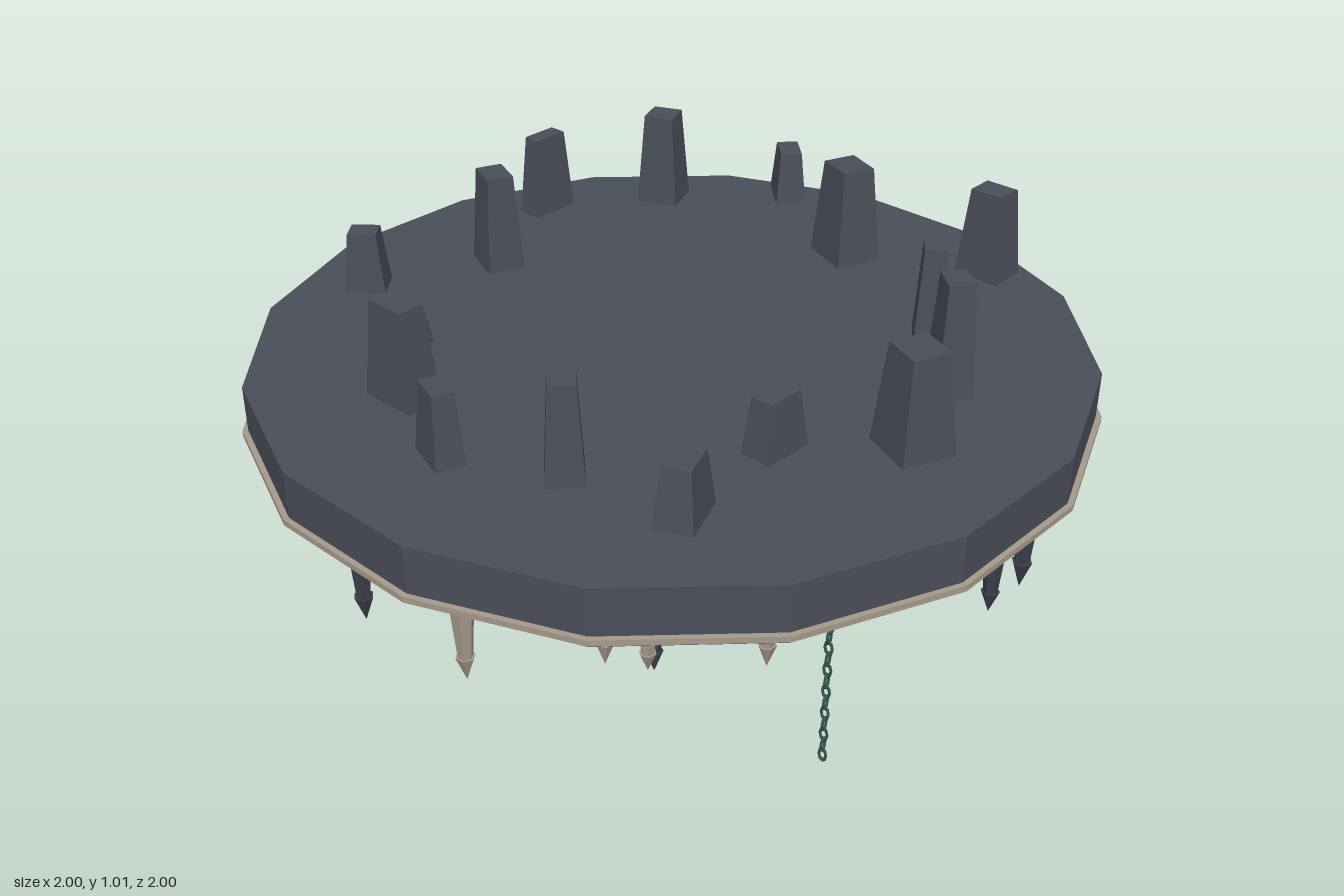
import * as THREE from 'three';

const mat = (name, color) => {
  const m = new THREE.MeshStandardMaterial({ color, flatShading: true });
  m.name = name;
  return m;
};

export function createModel() {
  const slate = mat('slate stone', 0x4a4e59);
  const dark = mat('dark stone', 0x3c404d);
  const bone = mat('pale stone', 0xa5998a);
  const green = mat('verdigris chain', 0x35564c);
  const gold = mat('gold', 0xb8860b);
  const root = new THREE.Group();
  const add = (name, geo, material, x = 0, y = 0, z = 0, parent = root) => {
    const m = new THREE.Mesh(geo, material);
    m.name = name;
    m.position.set(x, y, z);
    parent.add(m);
    return m;
  };
  const cyl = (top, bottom, h, n) => new THREE.CylinderGeometry(top, bottom, h, n);

  // Stepped discs, each with a pale rim band: radius, bottom, top
  const tiers = [[0.985, 0.598, 0.735], [0.72, 0.47, 0.6], [0.46, 0.355, 0.472], [0.25, 0.258, 0.357]];
  tiers.forEach(([r, y0, y1], i) => {
    add('tier' + (i + 1), cyl(r, r, y1 - y0, 16), slate, 0, (y0 + y1) / 2);
    add('rimBand' + (i + 1), cyl(r + 0.013, r + 0.013, 0.014, 16), bone, 0, y0 + 0.018);
  });

  // Tapered ruin pillars: x, z, width, depth, turn, top height
  const pillars = [
    [0.17, -0.85, 0.125, 0.1, 0.2, 0.96], [-0.5, -0.75, 0.13, 0.08, -0.55, 0.87],
    [-0.12, -0.63, 0.14, 0.12, -0.17, 0.98], [-0.69, -0.465, 0.11, 0.11, 0.6, 0.975],
    [-0.81, -0.165, 0.065, 0.135, 0.2, 0.945], [-0.595, 0.115, 0.125, 0.095, -0.2, 0.98],
    [-0.67, 0.445, 0.1, 0.085, 0.9, 0.885], [-0.35, 0.515, 0.11, 0.08, 0.55, 0.825],
    [-0.13, 0.635, 0.145, 0.095, 0.2, 0.97], [0.135, 0.69, 0.115, 0.07, -0.13, 0.905],
    [0.34, 0.515, 0.11, 0.085, -0.55, 0.965], [0.605, 0.405, 0.09, 0.135, 0.6, 0.87],
    [0.515, 0.105, 0.08, 0.13, 0.2, 0.87], [0.68, -0.135, 0.14, 0.13, -0.2, 0.975],
    [0.545, -0.365, 0.11, 0.085, -0.5, 1.01], [0.335, -0.5, 0.08, 0.075, -0.7, 0.97]];
  for (const [x, z, w, d, turn, top] of pillars) {
    const h = top - 0.73;
    const geo = new THREE.BoxGeometry(w, h, d);
    const p = geo.attributes.position;
    for (let i = 0; i < p.count; i++) {
      if (p.getY(i) > 0) { p.setX(i, p.getX(i) * 0.7); p.setZ(i, p.getZ(i) * 0.7); }
    }
    geo.computeVertexNormals();
    add('pillar', geo, slate, x, 0.73 + h / 2, z).rotation.y = turn;
  }

  // Hanging spikes: tapered shaft with a slightly flared point
  const spike = (x, z, y, len, m) => {
    const g = new THREE.Group();
    g.name = 'hangingSpike';
    g.position.set(x, y, z);
    g.rotation.y = x * 7 + z * 5;
    const r = 0.012 + len * 0.075;
    const tip = len * 0.3;
    add('shaft', cyl(r, r * 0.6, len - tip, 6), m, 0, -(len - tip) / 2, 0, g);
    add('point', cyl(r * 0.8, 0, tip, 6), m, 0, -len + tip / 2, 0, g);
    root.add(g);
  };
  // x, z, length for each tier, pale then dark
  const spikes = [
    [0.6, [[0.57, -0.64, 0.14], [0.35, -0.78, 0.17], [-0.44, -0.83, 0.17], [0.67, 0.54, 0.15],
      [0.43, 0.82, 0.2], [-0.77, -0.28, 0.2], [-0.86, 0.27, 0.2], [-0.83, 0.45, 0.22], [-0.7, 0.55, 0.2], [-0.49, 0.68, 0.15]],
    [[0.9, -0.18, 0.18], [0.83, -0.35, 0.23], [0.33, -0.85, 0.12], [-0.03, -0.83, 0.22],
      [-0.34, -0.82, 0.22], [0.12, 0.89, 0.21], [-0.83, -0.34, 0.18], [-0.25, 0.85, 0.14]]],
    [0.472, [[-0.16, -0.6, 0.19], [0.68, -0.12, 0.14], [0.3, -0.5, 0.11], [0.13, -0.57, 0.16],
      [0.55, 0.24, 0.14], [0.25, 0.46, 0.14], [-0.48, -0.18, 0.15], [0.13, 0.64, 0.19],
      [-0.1, 0.64, 0.15], [-0.52, 0.08, 0.17], [-0.53, 0.32, 0.17], [0.63, 0.2, 0.2], [0.42, 0.48, 0.2]],
    [[0.35, -0.44, 0.18], [0.52, 0.42, 0.18], [-0.28, -0.5, 0.16], [-0.58, -0.23, 0.15], [-0.3, 0.55, 0.14]]],
    [0.357, [[0.41, 0.01, 0.11], [-0.18, -0.28, 0.1], [0.33, 0.22, 0.11], [-0.35, 0.18, 0.09], [0.2, 0.32, 0.09]],
      [[0.27, -0.23, 0.1], [-0.1, 0.35, 0.08], [-0.35, -0.1, 0.09]]],
    [0.26, [[-0.16, 0.1, 0.06], [0.13, 0.12, 0.05]], [[0.1, -0.14, 0.06], [-0.13, -0.08, 0.05]]]];
  for (const [y, pale, shade] of spikes) {
    pale.forEach(([x, z, len]) => spike(x, z, y, len, bone));
    shade.forEach(([x, z, len]) => spike(x, z, y, len, dark));
  }

  // Chains of alternating links: x, z, top, bottom
  const link = new THREE.TorusGeometry(0.009, 0.0035, 5, 8);
  link.scale(1, 1.75, 1);
  const chains = [[-0.93, 0.27, 0.6, 0.09], [0.19, -0.965, 0.6, 0.29], [-0.635, -0.38, 0.475, 0.08],
    [0.17, 0.69, 0.475, 0.18], [0.71, 0.095, 0.475, 0], [-0.32, 0.33, 0.36, 0.12], [0.22, -0.405, 0.36, 0.02]];
  for (const [x, z, top, bottom] of chains) {
    const g = new THREE.Group();
    g.name = 'chain';
    g.position.set(x, 0, z);
    const n = Math.round((top - bottom) / 0.029);
    for (let i = 0; i < n; i++) {
      const y = bottom + 0.022 + i * (top - bottom - 0.022) / (n - 1);
      add('link', link, green, 0, y, 0, g).rotation.y = (i % 2) * Math.PI / 2 + 0.4;
    }
    root.add(g);
  }

  // Gold ring with two short bars under the lowest disc
  const ring = new THREE.TorusGeometry(0.18, 0.008, 6, 32);
  ring.rotateX(Math.PI / 2);
  add('goldRing', ring, gold, 0, 0.255, 0);
  for (const s of [-1, 1]) add('goldBar', new THREE.BoxGeometry(0.02, 0.012, 0.1), gold, 0, 0.255, s * 0.21);

  // Central pendant
  const profile = [[0, 0.03], [0.036, 0.125], [0.033, 0.135], [0.055, 0.2], [0.075, 0.21], [0.07, 0.235], [0.09, 0.262]];
  add('pendant', new THREE.LatheGeometry(profile.map(([r, y]) => new THREE.Vector2(r, y)), 8), dark);
  return root;
}
